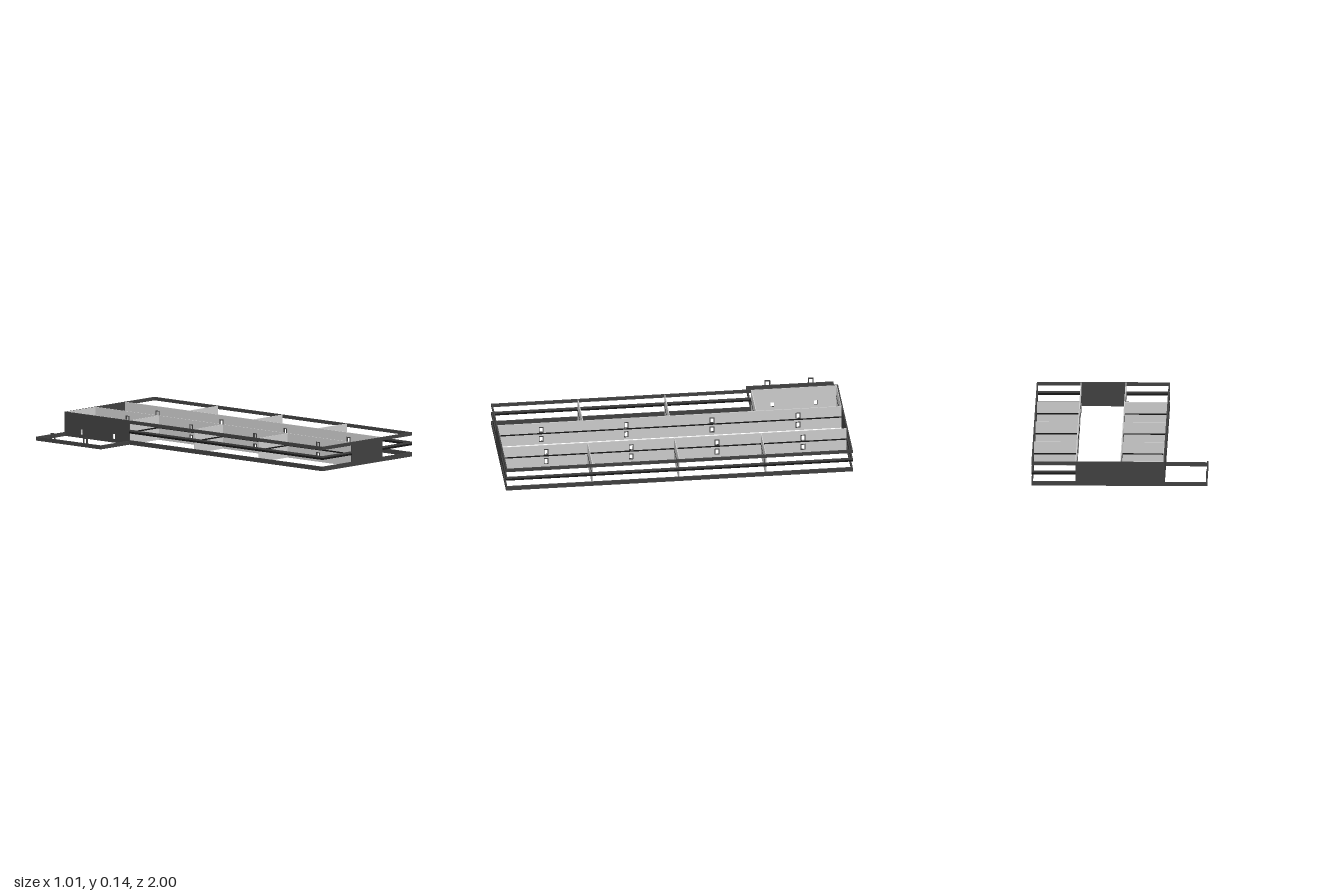
import * as THREE from 'three';

export function createModel() {
  const model = new THREE.Group();
  const dark = new THREE.MeshStandardMaterial({ color: 0x404040 });
  const black = new THREE.MeshStandardMaterial({ color: 0x161616 });
  const grey = new THREE.MeshStandardMaterial({ color: 0xcccccc });

  const H = 0.14, T = 0.008, P = 0.005;
  const X0 = -0.26, X1 = 0.504, YARD = -0.504; // outer faces of the plan
  const HALL = [-0.007, 0.25];                 // corridor walls
  const roomZ = [-0.74, -0.245, 0.25, 0.74];   // door centres
  const yardDoorZ = [-0.87, -0.62];

  function block(name, mat, x0, x1, y0, y1, z0, z1) {
    const m = new THREE.Mesh(new THREE.BoxGeometry(x1 - x0, y1 - y0, z1 - z0), mat);
    m.position.set((x0 + x1) / 2, (y0 + y1) / 2, (z0 + z1) / 2);
    m.name = name;
    model.add(m);
  }

  // Wall running along z, centred on x, with rectangular openings [z, y0, y1, width]
  function pierced(name, mat, x, thick, z0, z1, y0, y1, holes) {
    const rect = (s, a, b, c, d) => s.moveTo(a, b).lineTo(c, b).lineTo(c, d).lineTo(a, d).closePath();
    const shape = rect(new THREE.Shape(), z0, y0, z1, y1);
    for (const [z, a, b, w] of holes) shape.holes.push(rect(new THREE.Path(), z - w / 2, a, z + w / 2, b));
    const g = new THREE.ExtrudeGeometry(shape, { depth: thick, bevelEnabled: false });
    g.translate(0, 0, -thick / 2);
    g.rotateY(-Math.PI / 2);
    const m = new THREE.Mesh(g, mat);
    m.position.x = x;
    m.name = name;
    model.add(m);
  }

  // Thin door surround standing in a wall that runs along z
  function doorFrame(x, z, y0, y1, w, thick) {
    pierced('doorFrame', dark, x, thick, z - w / 2 - 0.005, z + w / 2 + 0.005, y0 - 0.003, y1 + 0.005,
      [[z, y0, y1, w]]);
  }

  // Outer bands: base, storey line and parapet, open between for the windows
  const bands = [
    ['baseBand', 0, 0.025, dark], ['storeyLine', 0.065, 0.076, black],
    ['upperSill', 0.076, 0.086, dark], ['parapet', 0.121, H, dark],
  ];
  for (const [name, y0, y1, mat] of bands) {
    block(name + 'Left', mat, X1 - T, X1, y0, y1, -1, 1);
    block(name + 'Right', mat, X0, X0 + T, y0, y1, -0.5, 1);
    block(name + 'FrontLeft', mat, HALL[1], X1 - T, y0, y1, 1 - T, 1);
    block(name + 'FrontRight', mat, X0 + T, HALL[0], y0, y1, 1 - T, 1);
    block(name + 'Back', mat, HALL[1], X1 - T, y0, y1, -1, -1 + T);
  }

  // Solid outer walls at the corridor ends and around the back right room
  block('corridorFrontWall', dark, HALL[0], HALL[1], 0, H, 1 - T, 1);
  block('backWall', dark, X0, HALL[1], 0, H, -1, -1 + T);
  pierced('yardSideWall', dark, X0 + T / 2, T, -1 + T, -0.5, 0, H,
    yardDoorZ.map(z => [z, 0.02, 0.05, 0.02]));

  // Grey lining inside the back right room
  block('backLining', grey, X0 + T, HALL[0] - P / 2, 0, H, -1 + T, -1 + T + 0.003);
  pierced('sideLining', grey, X0 + T + 0.0015, 0.003, -1 + T + 0.003, -0.5, 0, H,
    yardDoorZ.map(z => [z, 0.02, 0.05, 0.02]));
  block('liningStoreyLine', black, X0 + T + 0.003, HALL[0] - P / 2, 0.067, 0.075, -0.989, -0.988);

  // Corridor walls with a door to each room on both storeys
  for (const x of HALL) {
    const doors = roomZ.flatMap(z => [[z, 0.02, 0.05, 0.018], [z, 0.08, 0.11, 0.018]]);
    pierced('corridorWall', grey, x, P, -1 + T, 1 - T, 0, H, doors);
    block('corridorStoreyLine', black, x - P / 2 - 0.001, x + P / 2 + 0.001, 0.067, 0.075, -1 + T, 1 - T);
    for (const [z, y0, y1, w] of doors) doorFrame(x, z, y0, y1, w, P + 0.004);
  }

  // Cross partitions between the rooms
  for (const z of [-0.5, 0, 0.5]) {
    for (const [a, b] of [[X0 + T, HALL[0] - P / 2], [HALL[1] + P / 2, X1 - T]]) {
      block('partition', grey, a, b, 0, H, z - P / 2, z + P / 2);
      block('partitionStoreyLine', black, a, b, 0.067, 0.075, z - P / 2 - 0.001, z + P / 2 + 0.001);
    }
  }

  // Low yard wall with two free-standing door frames
  block('yardWallOuter', dark, YARD, YARD + T, 0, 0.022, -1, -0.5 + T / 2);
  block('yardWallBack', dark, YARD + T, X0, 0, 0.022, -1, -1 + T);
  block('yardWallFront', dark, YARD + T, X0, 0, 0.022, -0.5 - T / 2, -0.5 + T / 2);
  for (const z of yardDoorZ) {
    for (const s of [-1, 1]) {
      block('yardDoorPost', dark, YARD, YARD + T, 0.022, 0.049, z + s * 0.013 - 0.003, z + s * 0.013 + 0.003);
    }
    block('yardDoorLintel', dark, YARD, YARD + T, 0.049, 0.055, z - 0.016, z + 0.016);
  }

  return model;
}
